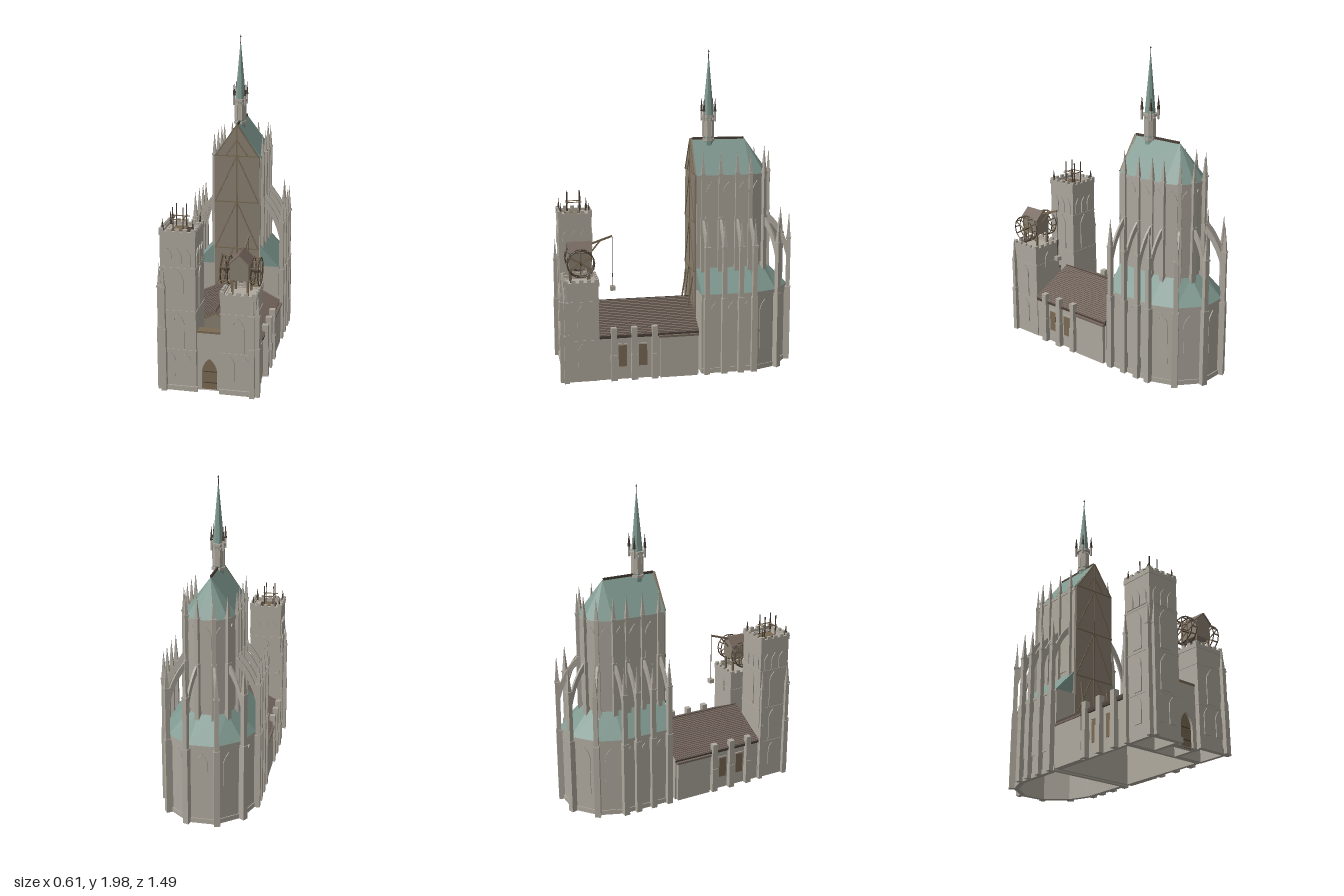
import * as THREE from 'three';

const mat = (color, side = THREE.FrontSide) => new THREE.MeshStandardMaterial({ color, side, flatShading: true });
const stone = mat(0xaea89d), copper = mat(0x809a91, THREE.DoubleSide), wood = mat(0x897f70), timber = mat(0x7a6a54);
const plank = mat(0x75675e), darkWood = mat(0x4a4038), teal = mat(0x204239), night = mat(0x1b1e28);

function add(parent, name, geo, m, x = 0, y = 0, z = 0, ry = 0) {
  const mesh = new THREE.Mesh(geo, m);
  mesh.name = name;
  mesh.position.set(x, y, z);
  mesh.rotation.y = ry;
  parent.add(mesh);
  return mesh;
}
function group(parent, name, x = 0, y = 0, z = 0, ry = 0) {
  const g = new THREE.Group();
  g.name = name;
  g.position.set(x, y, z);
  g.rotation.y = ry;
  parent.add(g);
  return g;
}
// box given by its base height
const box = (p, name, m, x, y, z, w, h, d, ry = 0) => add(p, name, new THREE.BoxGeometry(w, h, d), m, x, y + h / 2, z, ry);
const pyramid = (p, name, m, x, y, z, w, h) =>
  add(p, name, new THREE.ConeGeometry(w * 0.707, h, 4).rotateY(Math.PI / 4), m, x, y + h / 2, z);
// square beam between two points
function beam(p, name, m, a, b, t) {
  const A = new THREE.Vector3(...a), B = new THREE.Vector3(...b);
  const mesh = add(p, name, new THREE.BoxGeometry(t, A.distanceTo(B), t), m);
  mesh.position.copy(A).add(B).multiplyScalar(0.5);
  mesh.quaternion.setFromUnitVectors(new THREE.Vector3(0, 1, 0), B.sub(A).normalize());
}
const extrude = (shape, depth) => new THREE.ExtrudeGeometry(shape, { depth, bevelEnabled: false, curveSegments: 6 });
const outline = (pts) => new THREE.Shape(pts.map((q) => new THREE.Vector2(...q)));
const flat = (pts) => pts.map(([x, z]) => new THREE.Vector2(x, -z));
const rect = (x0, x1, z0, z1) => [[x0, z1], [x1, z1], [x1, z0], [x0, z0]];
// hollow prism standing on a plan outline
function prism(p, name, m, pts, hole, y0, y1) {
  const s = new THREE.Shape(flat(pts));
  s.holes.push(new THREE.Path(flat(hole)));
  add(p, name, extrude(s, y1 - y0).rotateX(-Math.PI / 2), m, 0, y0, 0);
}
// surface between two plan outlines [x, z] at two heights
function loft(p, name, m, low, y0, high, y1) {
  const v = [];
  low.forEach((a, i) => {
    const j = (i + 1) % low.length, b = low[j], c = high[j], d = high[i];
    v.push(a[0], y0, a[1], b[0], y0, b[1], c[0], y1, c[1], a[0], y0, a[1], c[0], y1, c[1], d[0], y1, d[1]);
  });
  const g = new THREE.BufferGeometry();
  g.setAttribute('position', new THREE.Float32BufferAttribute(v, 3));
  g.computeVertexNormals();
  add(p, name, g, m);
}
function arch(path, w, h) {
  const r = w / 2, s = h - w * 0.9;
  path.moveTo(-r, 0); path.lineTo(r, 0); path.lineTo(r, s);
  path.quadraticCurveTo(r * 0.9, s + w * 0.55, 0, h);
  path.quadraticCurveTo(-r * 0.9, s + w * 0.55, -r, s);
  path.lineTo(-r, 0);
  return path;
}
// pointed window: glass, stone surround, mullion
function pointedWindow(p, m, w, h, x, y, z, ry = 0, mullion = true) {
  const g = group(p, 'window', x, y, z, ry);
  add(g, 'glass', extrude(arch(new THREE.Shape(), w, h), 0.004), m, 0, 0, -0.001);
  const frame = outline([[-w / 2 - 0.006, -0.006], [w / 2 + 0.006, -0.006], [w / 2 + 0.006, h - w * 0.85], [0, h + 0.01], [-w / 2 - 0.006, h - w * 0.85]]);
  frame.setFromPoints(arch(new THREE.Shape(), w + 0.012, h + 0.012).getPoints(6).map((q) => q.setY(q.y - 0.006)));
  frame.holes.push(arch(new THREE.Path(), w, h));
  add(g, 'surround', extrude(frame, 0.007), stone, 0, 0, -0.001);
  if (mullion) {
    box(g, 'mullion', m === night ? darkWood : copper, 0, 0, 0.003, 0.003, h * 0.88, 0.004);
    box(g, 'transom', stone, 0, h * 0.42, 0.003, w, 0.003, 0.004);
  }
}
// stepped buttress with a pyramid pinnacle
function pier(p, x, z, ry, w, h, tip, base = 0) {
  const g = group(p, 'buttress', x, 0, z, ry), mid = base + (h - base) * 0.6;
  box(g, 'lowerShaft', stone, 0, base, 0, w, mid - base, w);
  box(g, 'upperShaft', stone, 0, mid, 0, w * 0.76, h - mid, w * 0.76);
  box(g, 'cap', stone, 0, h - 0.008, 0, w * 0.95, 0.01, w * 0.95);
  pyramid(g, 'pinnacle', stone, 0, h, 0, w * 0.7, tip - h);
}
const mirror = (half) => [...half, ...half.map(([x, z]) => [-x, z]).reverse()];
const bayZ = [-0.155, -0.265, -0.37, -0.455];

function buildChoir(root) {
  const g = group(root, 'choir');
  const outer = mirror([[0.27, -0.125], [0.27, -0.46], [0.215, -0.605], [0.08, -0.715]]);
  const outerHole = mirror([[0.245, -0.15], [0.245, -0.455], [0.196, -0.588], [0.071, -0.69]]);
  const inner = mirror([[0.15, -0.115], [0.15, -0.455], [0.115, -0.545], [0.045, -0.587]]);
  const innerHole = mirror([[0.125, -0.14], [0.125, -0.445], [0.095, -0.525], [0.037, -0.56]]);
  const grow = (pts, k) => pts.map(([x, z]) => [x * k, z < -0.4 ? (z + 0.4) * k - 0.4 : z]);
  prism(g, 'ambulatoryWall', stone, outer, outerHole, 0, 0.5);
  prism(g, 'plinth', stone, grow(outer, 1.02), outerHole, 0, 0.03);
  prism(g, 'ambulatoryCornice', stone, grow(outer, 1.02), outerHole, 0.488, 0.502);
  loft(g, 'ambulatoryRoof', copper, grow(outer, 1.02), 0.502, inner, 0.64);
  prism(g, 'clerestoryWall', stone, inner, innerHole, 0.5, 1.21);
  prism(g, 'highCornice', stone, grow(inner, 1.03), innerHole, 1.2, 1.22);
  // high roof, hipped over the apse
  const ridge = mirror([[0, -0.115], [0, -0.45], [0, -0.45], [0, -0.45]]);
  loft(g, 'highRoof', copper, grow(inner, 1.04), 1.22, ridge, 1.43);
  box(g, 'ridgeBeam', darkWood, 0, 1.425, -0.28, 0.009, 0.014, 0.33);
  // windows in every bay
  const bays = (x, tail) => mirror([...bayZ.map((z) => [x, z]), ...tail]);
  const bayWindows = (pts, m, y, h, wMax) => pts.slice(0, -1).forEach((a, i) => {
    const b = pts[i + 1], dx = b[0] - a[0], dz = b[1] - a[1], w = Math.min(wMax, Math.hypot(dx, dz) * 0.6);
    pointedWindow(g, m, w, h, (a[0] + b[0]) / 2, y, (a[1] + b[1]) / 2, Math.atan2(-dz, dx));
  });
  bayWindows(bays(0.27, [[0.215, -0.605], [0.08, -0.715]]), teal, 0.14, 0.3, 0.06);
  bayWindows(bays(0.15, [[0.115, -0.545], [0.045, -0.587]]), night, 0.67, 0.5, 0.06);
  // piers and flying buttresses
  const pairs = [...bayZ.map((z) => [0.155, z, 0.285, z]), [0.122, -0.55, 0.228, -0.618], [0.048, -0.597, 0.09, -0.727]];
  for (const s of [1, -1]) for (const [xi, zi, xo, zo] of pairs) {
    const ry = Math.atan2(zi - zo, s * (xo - xi)), L = Math.hypot(xo - xi, zo - zi);
    pier(g, s * xi, zi, ry, 0.03, 1.23, 1.37, 0.55);
    pier(g, s * xo, zo, ry, 0.036, 0.8, 0.97);
    box(g, 'buttressFoot', stone, s * (xo - (xo - xi) * 0.08), 0, zo - (zo - zi) * 0.08, 0.04, 0.46, 0.03, ry);
    const f = new THREE.Shape();
    f.moveTo(0, 0.96); f.lineTo(0, 0.91);
    f.quadraticCurveTo(L * 0.7, 0.84, L, 0.62); f.lineTo(L, 0.74);
    f.quadraticCurveTo(L * 0.65, 0.89, 0, 0.96);
    add(g, 'flyingButtress', extrude(f, 0.013).translate(0, 0, -0.0065), stone, s * xi, 0, zi, ry);
  }
  // timber hoarding closing the unfinished west side
  const board = outline([[-0.145, 0.3], [0.145, 0.3], [0.145, 1.225], [0, 1.435], [-0.145, 1.225]]);
  add(g, 'hoarding', extrude(board, 0.012), wood, 0, 0, -0.117);
  const zf = -0.104, tie = (a, b) => beam(g, 'hoardingTimber', timber, [...a, zf], [...b, zf], 0.007);
  for (const y of [0.62, 0.93, 1.23]) tie([-0.143, y], [0.143, y]);
  tie([0, 0.4], [0, 1.42]);
  for (const k of [1, -1]) {
    tie([k * 0.14, 0.62], [0, 0.93]); tie([k * 0.14, 0.93], [0, 1.23]); tie([k * 0.14, 1.225], [0, 1.43]);
    tie([k * 0.14, 0.35], [k * 0.02, 0.62]); tie([k * 0.07, 1.23], [0, 1.33]);
    beam(g, 'prop', timber, [k * 0.1, 0.36, -0.07], [k * 0.1, 0.58, -0.104], 0.009);
  }
  // crossing spire
  const t = group(g, 'spire', 0, 0, -0.22);
  add(t, 'lantern', new THREE.CylinderGeometry(0.03, 0.032, 0.2, 8).rotateY(Math.PI / 8), copper, 0, 1.49, 0);
  for (const [y, r] of [[1.425, 0.041], [1.57, 0.046]])
    add(t, 'lanternBand', new THREE.CylinderGeometry(r, r, 0.016, 8).rotateY(Math.PI / 8), stone, 0, y, 0);
  for (let i = 0; i < 8; i++) {
    const a = i * Math.PI / 4, b = a + Math.PI / 8;
    pointedWindow(t, teal, 0.015, 0.1, Math.sin(a) * 0.029, 1.45, Math.cos(a) * 0.029, a, false);
    box(t, 'lanternPost', stone, Math.sin(b) * 0.033, 1.42, Math.cos(b) * 0.033, 0.006, 0.15, 0.006, b);
  }
  add(t, 'spireCone', new THREE.ConeGeometry(0.034, 0.37, 8).rotateY(Math.PI / 8), copper, 0, 1.765, 0);
  for (const x of [-1, 1]) for (const z of [-1, 1]) {
    box(t, 'spireletShaft', stone, x * 0.035, 1.54, z * 0.035, 0.011, 0.06, 0.011);
    pyramid(t, 'spirelet', darkWood, x * 0.035, 1.6, z * 0.035, 0.014, 0.085);
  }
  add(t, 'finial', new THREE.CylinderGeometry(0.002, 0.003, 0.055, 5), darkWood, 0, 1.9475, 0);
  add(t, 'finialKnob', new THREE.SphereGeometry(0.005, 6, 4), darkWood, 0, 1.965, 0);
}

function buildNave(root) {
  const g = group(root, 'nave');
  prism(g, 'naveWall', stone, rect(-0.272, 0.272, -0.105, 0.51), rect(-0.25, 0.25, -0.085, 0.49), 0, 0.285);
  // roof slopes with raised boards
  const n = 22, rise = 0.14, run = 0.285, slope = Math.atan2(rise, run);
  for (const s of [1, -1]) {
    box(g, 'roofSlope', plank, s * run / 2, 0.345, 0.2, Math.hypot(run, rise), 0.008, 0.612).rotation.z = -s * slope;
    for (let i = 0; i < n; i++) {
      const k = (i + 0.5) / n;
      box(g, 'roofBoard', plank, s * run * k, 0.42 - rise * k, 0.2, 0.0085, 0.008, 0.612).rotation.z = -s * slope;
    }
    box(g, 'eavesBeam', darkWood, s * 0.277, 0.262, 0.2, 0.012, 0.02, 0.61);
    for (const z of [0.17, 0.295, 0.42]) {
      box(g, 'naveButtress', stone, s * 0.283, 0, z, 0.036, 0.33, 0.034);
      box(g, 'buttressFoot', stone, s * 0.287, 0, z, 0.036, 0.16, 0.038);
    }
    for (const z of [0.24, 0.365]) {
      box(g, 'boardedOpening', timber, s * 0.272, 0.08, z, 0.008, 0.135, 0.05);
      box(g, 'openingLintel', stone, s * 0.273, 0.215, z, 0.012, 0.01, 0.06);
    }
    box(g, 'sideAisle', stone, s * 0.282, 0, 0.02, 0.022, 0.255, 0.23);
    box(g, 'aisleCap', plank, s * 0.285, 0.255, 0.02, 0.03, 0.012, 0.245);
  }
  box(g, 'ridgeBoard', darkWood, 0, 0.415, 0.2, 0.01, 0.013, 0.61);
  const gable = outline([[-0.265, 0.275], [0.265, 0.275], [0, 0.41]]);
  for (const z of [-0.1, 0.495]) add(g, 'naveGable', extrude(gable, 0.01), wood, 0, 0, z);
  // portal between the towers
  const wall = outline([[-0.08, 0], [0.08, 0], [0.08, 0.36], [-0.08, 0.36]]);
  wall.holes.push(arch(new THREE.Path(), 0.09, 0.2));
  add(g, 'portalWall', extrude(wall, 0.05), stone, 0, 0, 0.635);
  add(g, 'door', extrude(arch(new THREE.Shape(), 0.09, 0.2), 0.01), timber, 0, 0, 0.66);
  for (const y of [0.04, 0.11]) box(g, 'doorBand', darkWood, 0, y, 0.67, 0.08, 0.005, 0.005);
  box(g, 'portalCoping', timber, 0, 0.36, 0.66, 0.14, 0.012, 0.06);
  for (const k of [1, -1]) beam(g, 'gableTimber', timber, [k * 0.07, 0.376, 0.508], [0, 0.412, 0.508], 0.008);
}

// tower body shared by both fronts; s = side
function buildTower(root, s, h, name) {
  const g = group(root, name, s * 0.175, 0, 0.61), R = 0.103, hs = h - 0.02, tall = h > 0.8;
  prism(g, 'towerWall', stone, rect(-R, R, -R, R), rect(-0.08, 0.08, -0.08, 0.08), 0, hs);
  box(g, 'deck', stone, 0, hs - 0.02, 0, 0.19, 0.015, 0.19);
  prism(g, 'parapet', stone, rect(-R - 0.004, R + 0.004, -R - 0.004, R + 0.004), rect(-0.09, 0.09, -0.09, 0.09), hs - 0.01, hs + 0.015);
  for (const y of [0.25, 0.49, 0.75]) if (y < hs) box(g, 'stringCourse', stone, 0, y, 0, 0.212, 0.008, 0.212);
  box(g, 'plinth', stone, 0, 0, R, 0.22, 0.03, 0.016);
  for (let f = 0; f < 4; f++) {
    const q = group(g, 'towerFace', 0, 0, 0, f * Math.PI / 2);
    for (let i = -2; i <= 2; i++) box(q, 'merlon', stone, i * 0.046, hs + 0.015, 0.1, 0.024, 0.016, 0.014);
    if (f === 0 || f === (s > 0 ? 1 : 3)) {
      pointedWindow(q, night, f ? 0.045 : 0.062, 0.2, 0, 0.27, R);
      for (const k of f ? [0] : [-0.045, 0.045]) pointedWindow(q, night, 0.036, 0.14, k, 0.09, R, 0, false);
    }
    if (tall) {
      for (const k of [-0.055, 0, 0.055]) pointedWindow(q, teal, 0.036, 0.09, k, 0.77, R, 0, false);
      pointedWindow(q, teal, 0.054, 0.22, 0, 0.515, R);
    } else if (f === 2) pointedWindow(q, night, 0.03, 0.09, 0, 0.47, R, 0, false);
  }
  const top = tall ? 0.64 : 0.5;
  pier(g, s * 0.112, 0.095, 0, 0.03, top, top + 0.14);
  pier(g, s * 0.085, 0.117, 0, 0.03, top, top + 0.14);
  if (tall) pier(g, s * 0.112, -0.09, 0, 0.024, top, top + 0.14);
  return g;
}

function buildCrane(g) {
  const c = group(g, 'craneHouse');
  const end = outline([[-0.053, 0.69], [0.053, 0.69], [0.053, 0.79], [0, 0.84], [-0.053, 0.79]]);
  add(c, 'house', extrude(end, 0.13), wood, 0, 0, -0.065);
  for (const k of [1, -1]) {
    box(c, 'houseRoof', plank, k * 0.03, 0.812, 0, 0.082, 0.006, 0.145).rotation.z = -k * 0.756;
    for (const z of [-0.055, 0.055]) box(c, 'leg', timber, k * 0.045, 0.58, z, 0.012, 0.12, 0.012);
    // treadwheel
    const w = group(c, 'treadwheel', k * 0.088, 0.73, 0);
    for (const x of [-0.02, 0.02]) {
      add(w, 'rim', new THREE.TorusGeometry(0.081, 0.004, 4, 16).rotateY(Math.PI / 2), darkWood, x, 0, 0);
      for (let i = 0; i < 3; i++) {
        const a = i * Math.PI / 3, y = Math.cos(a) * 0.08, z = Math.sin(a) * 0.08;
        beam(w, 'spoke', timber, [x, y, z], [x, -y, -z], 0.005);
      }
    }
    for (let i = 0; i < 12; i++) {
      const a = i * Math.PI / 6;
      box(w, 'tread', timber, 0, Math.cos(a) * 0.081 - 0.003, Math.sin(a) * 0.081, 0.045, 0.006, 0.006);
    }
  }
  beam(c, 'axle', darkWood, [-0.114, 0.73, 0], [0.114, 0.73, 0], 0.012);
  beam(c, 'jib', timber, [0, 0.815, -0.03], [0, 0.872, -0.2], 0.011);
  beam(c, 'jibStrut', timber, [0, 0.77, -0.065], [0, 0.85, -0.13], 0.008);
  beam(c, 'rope', darkWood, [0, 0.868, -0.2], [0, 0.56, -0.2], 0.003);
  box(c, 'hoistedBlock', stone, 0, 0.535, -0.2, 0.034, 0.027, 0.03);
}

export function createModel() {
  const root = new THREE.Group();
  root.name = 'cathedral';
  buildChoir(root);
  buildNave(root);
  const tall = buildTower(root, -1, 0.975, 'tallTower');
  buildCrane(buildTower(root, 1, 0.62, 'craneTower'));
  // scaffold and corner pinnacles on the tall tower
  for (const x of [-1, 1]) for (const z of [-1, 1]) {
    pyramid(tall, 'cornerPinnacle', darkWood, x * 0.088, 0.95, z * 0.088, 0.018, 0.09);
    box(tall, 'scaffoldPole', darkWood, -0.01 + x * 0.03, 0.945, z * 0.04, 0.005, 0.15, 0.005);
    box(tall, 'scaffoldRail', timber, -0.01, 1.02, z * 0.04, 0.1, 0.005, 0.005);
    box(tall, 'scaffoldRail', timber, -0.01 + x * 0.03, 1.025, 0, 0.005, 0.005, 0.1);
  }
  box(tall, 'hatch', darkWood, 0, 0.95, 0, 0.11, 0.004, 0.11);
  for (let i = -2; i <= 2; i++) box(tall, 'hatchBoard', timber, -0.01, 0.954, i * 0.018, 0.075, 0.008, 0.015);
  return root;
}
